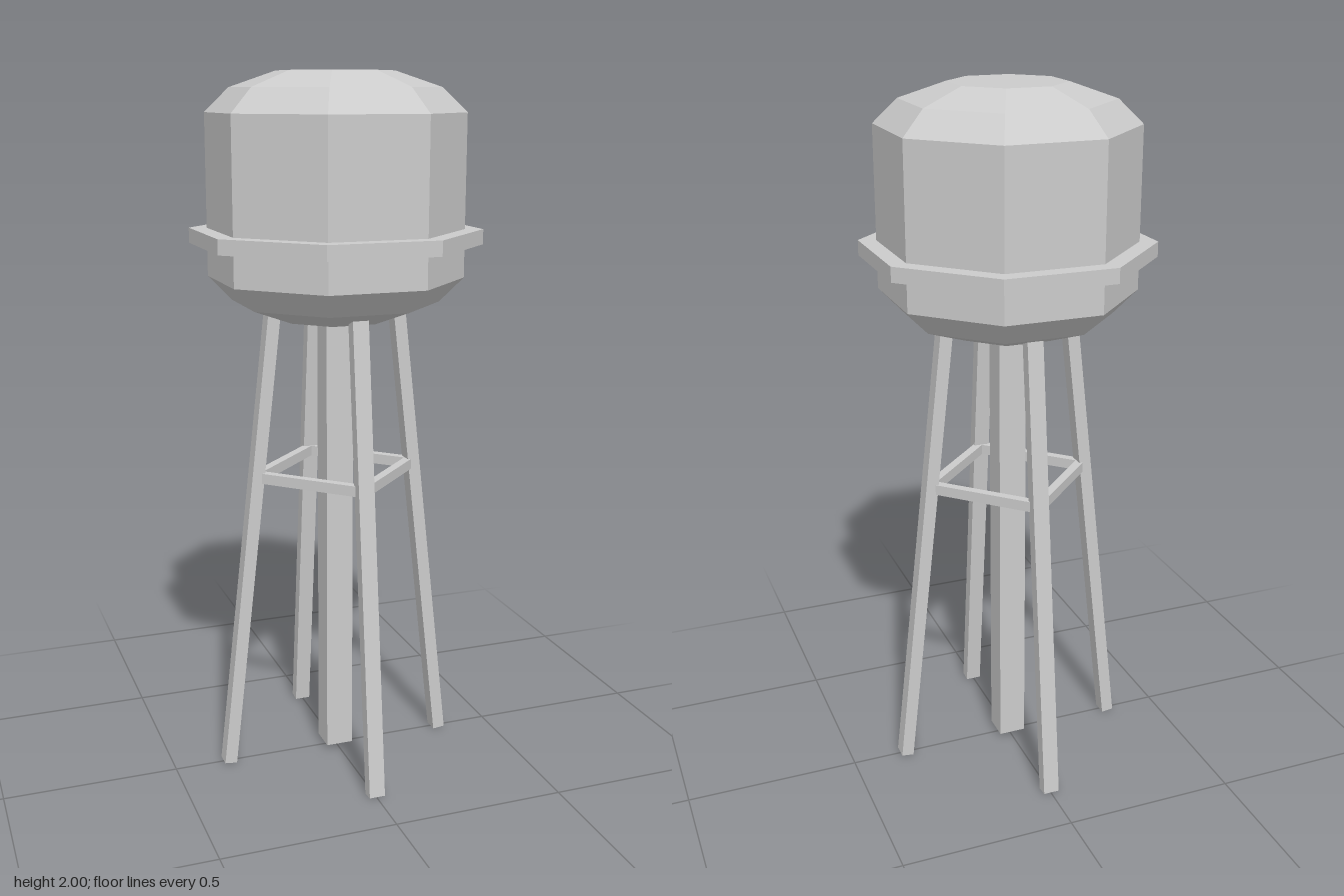
import * as THREE from 'three';

const material = new THREE.MeshStandardMaterial({ color: 0xcccccc, flatShading: true });

function addMesh(parent, name, geometry) {
  const mesh = new THREE.Mesh(geometry, material);
  mesh.name = name;
  parent.add(mesh);
  return mesh;
}

// Square-ended beam between two points; width is sideways, depth the other way
function addBeam(parent, name, from, to, width, depth, sideways) {
  const along = to.clone().sub(from);
  const mesh = addMesh(parent, name, new THREE.BoxGeometry(width, along.length(), depth));
  const y = along.clone().normalize();
  const z = sideways.clone().cross(y).normalize();
  const x = y.clone().cross(z);
  mesh.quaternion.setFromRotationMatrix(new THREE.Matrix4().makeBasis(x, y, z));
  mesh.position.copy(from).add(to).multiplyScalar(0.5);
  return mesh;
}

export function createModel() {
  const group = new THREE.Group();
  group.name = 'waterTower';
  const corner = 1 / Math.cos(Math.PI / 8); // flat-side distance to corner radius

  // Eight-sided tank with stepped dome and base
  const profile = [
    [0, 1.325], [0.15, 1.325], [0.27, 1.372], [0.333, 1.44],
    [0.333, 1.89], [0.27, 1.956], [0.15, 2], [0, 2],
  ].map(([r, y]) => new THREE.Vector2(r * corner, y));
  addMesh(group, 'tank', new THREE.LatheGeometry(profile, 8, Math.PI / 8));

  // Walkway ring around the tank
  const ring = addMesh(group, 'walkway',
    new THREE.CylinderGeometry(0.38 * corner, 0.38 * corner, 0.042, 8, 1, false, Math.PI / 8));
  ring.position.y = 1.554;

  // Central pipe
  const pipe = addMesh(group, 'centralPipe', new THREE.BoxGeometry(0.08, 1.325, 0.08));
  pipe.position.y = 0.015 + 1.325 / 2;

  // Four splayed legs, with a brace from each to the next
  const up = new THREE.Vector3(0, 1, 0);
  const at = (r, y, angle) => new THREE.Vector3(r, y, 0).applyAxisAngle(up, angle);
  for (let i = 0; i < 4; i++) {
    const a = (i * Math.PI) / 2;
    const b = a + Math.PI / 2;
    const tangent = at(1, 0, b);
    addBeam(group, 'leg', at(0.338, 0.002, a), at(0.186, 1.355, a), 0.046, 0.036, tangent);
    addBeam(group, 'brace', at(0.235, 0.876, a), at(0.235, 0.876, b), 0.03, 0.025, up);
  }
  return group;
}
